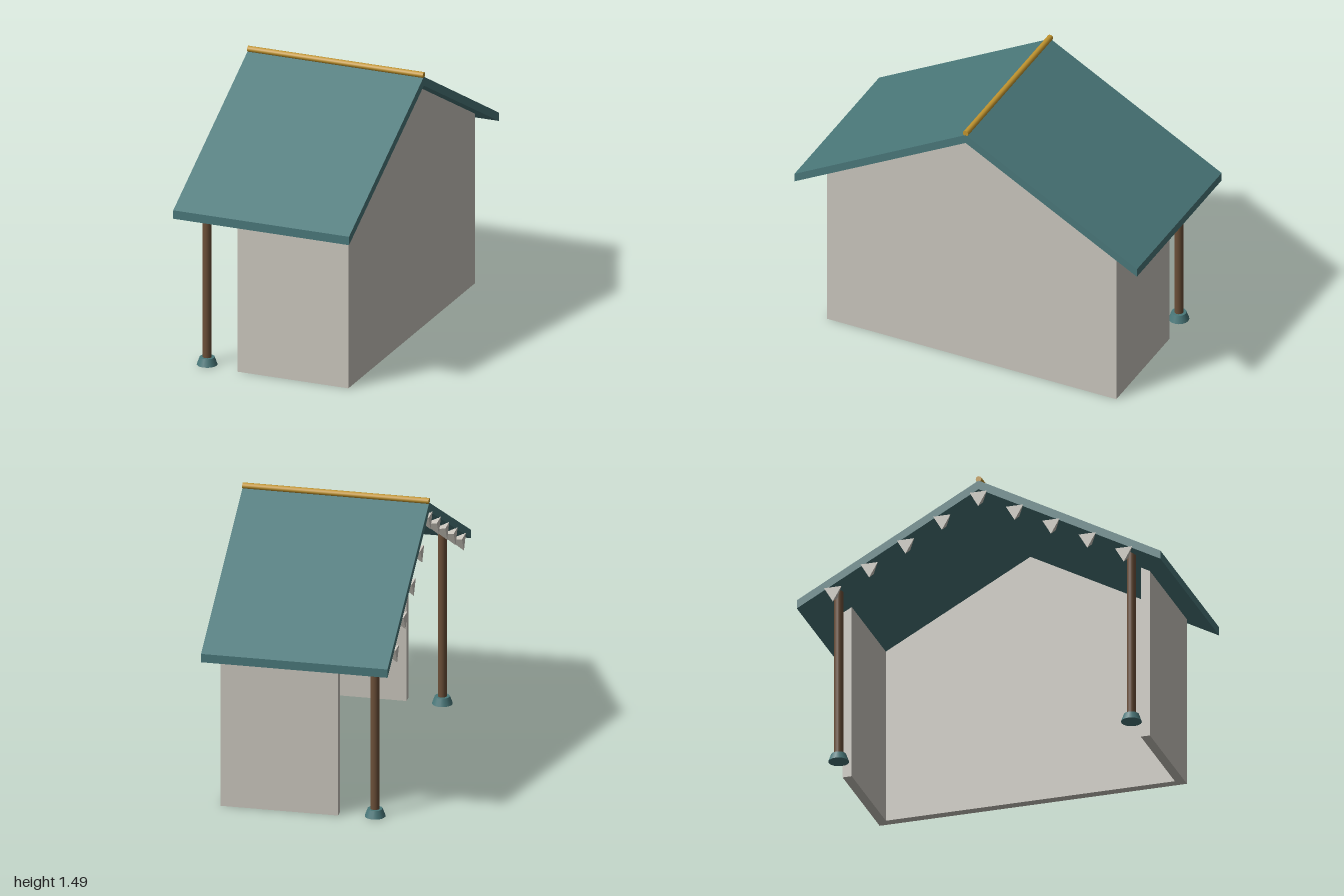
import * as THREE from 'three';

const mat = (name, color) => {
  const m = new THREE.MeshStandardMaterial({ color });
  m.name = name;
  return m;
};

export function createModel() {
  const group = new THREE.Group();
  const roofTeal = mat('roofTeal', 0x4a787a);
  const plaster = mat('plaster', 0xcbc7be);
  const wood = mat('wood', 0x6b4f38);
  const gold = mat('gold', 0xc2952f);

  const add = (name, geometry, material, x = 0, y = 0, z = 0) => {
    const mesh = new THREE.Mesh(geometry, material);
    mesh.name = name;
    mesh.position.set(x, y, z);
    group.add(mesh);
    return mesh;
  };

  // Extrudes a [z, y] outline along x from x0 to x1
  const extrudeX = (points, x0, x1) => {
    const shape = new THREE.Shape(points.map(([z, y]) => new THREE.Vector2(-z, y)));
    const geometry = new THREE.ExtrudeGeometry(shape, { depth: x1 - x0, bevelEnabled: false });
    return geometry.rotateY(Math.PI / 2).translate(x0, 0, 0);
  };

  // Height of the roof's underside at a given z
  const under = (z) => 1.41 - 0.545 * Math.abs(z);

  // Gabled roof and ridge pole
  add('roof', extrudeX([
    [1, 0.865], [1, 0.912], [0, 1.46], [-1, 0.912], [-1, 0.865], [0, 1.41],
  ], -0.5, 0.5), roofTeal);
  add('ridgePole', new THREE.CylinderGeometry(0.016, 0.016, 1, 12).rotateZ(Math.PI / 2), gold, 0, 1.469, 0);

  // Gable wall closing the +x end
  const w = 0.845, t = 0.05;
  add('gableWall', extrudeX([
    [w, 0], [w, under(w)], [0, 1.41], [-w, under(w)], [-w, 0],
  ], 0.43 - t, 0.43), plaster);

  for (const s of [1, -1]) {
    const side = s > 0 ? 'front' : 'back';

    // Short side walls with tops cut to the roof slope
    const inner = w - t;
    add(side + 'Wall', extrudeX([
      [s * w, 0], [s * w, under(w)], [s * inner, under(inner)], [s * inner, 0],
    ], -0.2, 0.43 - t), plaster);

    // Porch posts on flared feet
    add(side + 'Post', new THREE.CylinderGeometry(0.024, 0.024, 0.96, 16), wood, -0.39, 0.5, s * 0.805);
    add(side + 'PostFoot', new THREE.CylinderGeometry(0.04, 0.055, 0.042, 16), roofTeal, -0.39, 0.021, s * 0.805);
  }

  // Three-sided pennants following the open gable
  const pennant = new THREE.ConeGeometry(0.055, 0.08, 3)
    .toNonIndexed()
    .rotateY(Math.PI / 2)
    .rotateZ(-Math.PI / 2);
  pennant.computeVertexNormals();
  for (let i = -4; i <= 4; i++) {
    const z = i * 0.2;
    add('pennant', pennant, plaster, -0.467, under(z) - 0.045, z);
  }

  return group;
}
